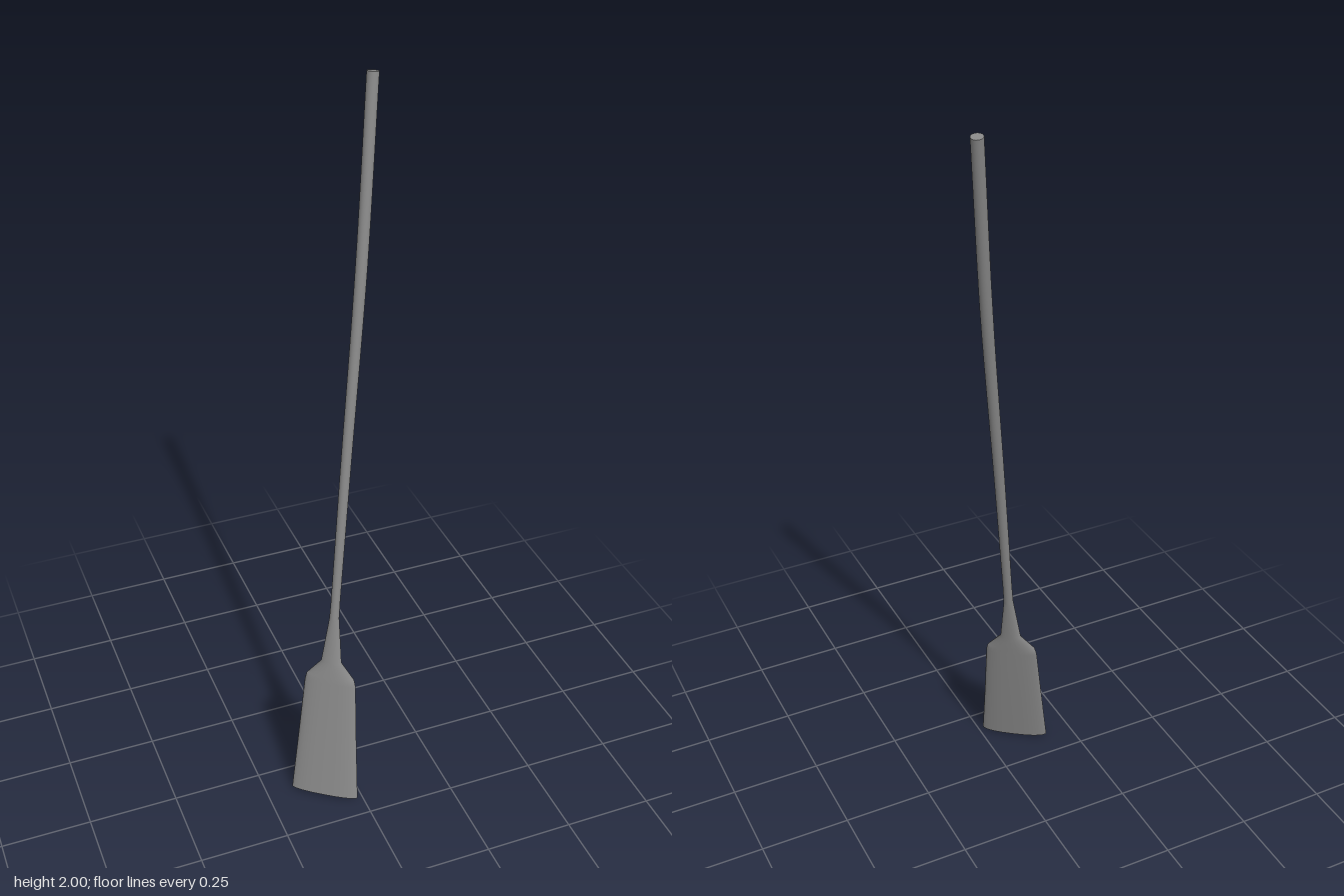
import * as THREE from 'three';

const SIDES = 24;
const material = new THREE.MeshStandardMaterial({ color: 0x888888 });

// Direction across the blade
const across = new THREE.Vector3(0.807, 0, 0.59).normalize();

// Corners of one oval section, square to the axis; power < 1 blunts its edges
function ring({ c, w, t, power = 1 }, axis) {
  const normal = new THREE.Vector3().crossVectors(across, axis).normalize();
  return Array.from({ length: SIDES }, (_, i) => {
    const a = (i / SIDES) * Math.PI * 2;
    const x = Math.cos(a);
    return c.clone()
      .addScaledVector(across, w * Math.sign(x) * Math.abs(x) ** power)
      .addScaledVector(normal, t * Math.sin(a));
  });
}

function geometryFrom(points, index) {
  const g = new THREE.BufferGeometry().setFromPoints(points);
  g.setIndex(index);
  g.computeVertexNormals();
  return g;
}

// Skin over a list of rings
function loft(rings) {
  const index = [];
  for (let r = 0; r < rings.length - 1; r++) {
    for (let i = 0; i < SIDES; i++) {
      const j = (i + 1) % SIDES;
      const a = r * SIDES + i, b = r * SIDES + j;
      index.push(a, a + SIDES, b, b, a + SIDES, b + SIDES);
    }
  }
  return geometryFrom(rings.flat(), index);
}

// Flat end over one ring
function cap(points, top) {
  const index = [];
  for (let i = 1; i < SIDES - 1; i++) index.push(0, ...(top ? [i + 1, i] : [i, i + 1]));
  return geometryFrom(points, index);
}

export function createModel() {
  const group = new THREE.Group();
  const V = (x, y, z) => new THREE.Vector3(x, y, z);

  // Blade and neck sections, from the tip upward
  const bladeSections = [
    { c: V(-0.094, 0.005, 0.133), w: 0.097, t: 0.017, power: 0.78 },
    { c: V(-0.073, 0.19, 0.102), w: 0.084, t: 0.016, power: 0.78 },
    { c: V(-0.054, 0.36, 0.075), w: 0.073, t: 0.014, power: 0.8 },
    { c: V(-0.052, 0.38, 0.072), w: 0.068, t: 0.014, power: 0.85 },
    { c: V(-0.046, 0.425, 0.064), w: 0.029, t: 0.013 },
    { c: V(-0.030, 0.56, 0.046), w: 0.0135, t: 0.0125 },
  ];

  // Gently bowed shaft
  const path = new THREE.CatmullRomCurve3([
    V(-0.030, 0.56, 0.046), V(0.027, 1, -0.017), V(0.1, 1.53, -0.099), V(0.157, 1.998, -0.177),
  ]);
  const shaftSections = path.getPoints(24).map((c, i) => {
    const r = 0.0125 + 0.003 * Math.min(1, i / 16);
    return { c, w: r, t: r };
  });

  // One continuous skin, divided into blade and shaft at the neck
  const all = [...bladeSections, ...shaftSections.slice(1)];
  const rings = all.map((s, i) => {
    const axis = all[Math.min(i + 1, all.length - 1)].c.clone().sub(all[Math.max(i - 1, 0)].c);
    return ring(s, axis.normalize());
  });
  const split = bladeSections.length;

  const add = (name, geometry) => {
    const mesh = new THREE.Mesh(geometry, material);
    mesh.name = name;
    group.add(mesh);
  };
  add('blade', loft(rings.slice(0, split)));
  add('shaft', loft(rings.slice(split - 1)));
  add('bladeTip', cap(rings[0], false));
  add('shaftEnd', cap(rings[rings.length - 1], true));

  return group;
}
